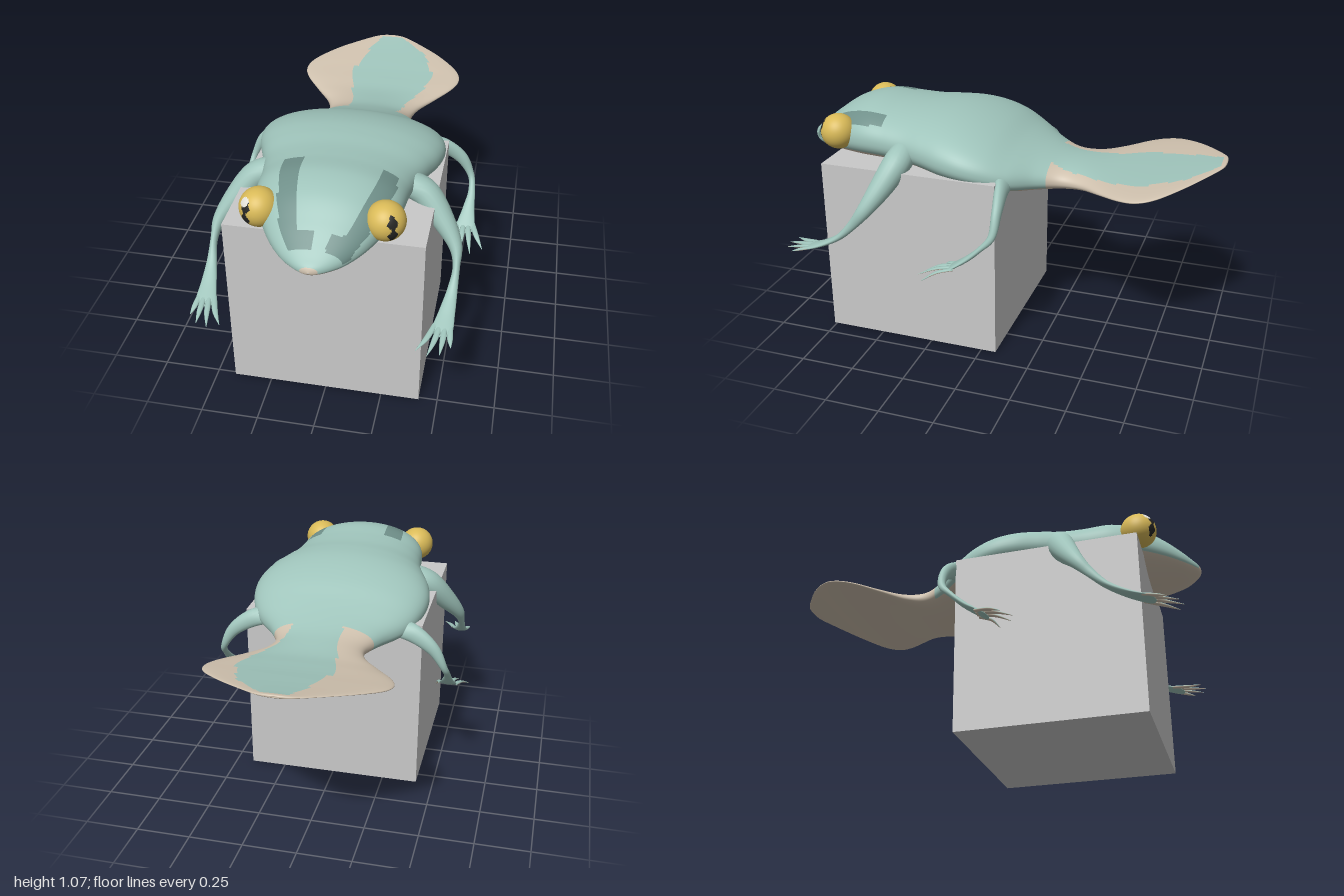
import * as THREE from 'three';

const mat = (name, color) => Object.assign(new THREE.MeshStandardMaterial({ color }), { name });

// Smooth interpolation through rows of numbers, u from 0 to 1
function sample(rows, u) {
  const n = rows.length - 1, f = Math.min(u * n, n - 1e-6), i = Math.floor(f), t = f - i;
  const at = (k) => rows[Math.min(Math.max(k, 0), n)];
  const [p, a, b, q] = [at(i - 1), at(i), at(i + 1), at(i + 2)];
  return a.map((v, k) => {
    const c1 = b[k] - p[k];
    const c2 = 2 * p[k] - 5 * v + 4 * b[k] - q[k];
    const c3 = 3 * (v - b[k]) + q[k] - p[k];
    return v + 0.5 * t * (c1 + t * (c2 + t * c3));
  });
}

// Closed skin over rings; pick(centre, angle, normal) chooses a material index for each face
function skin(rings, sides, point, pick, materials, name) {
  const pos = [], index = [], lists = materials.map(() => []);
  for (let i = 0; i <= rings; i++) {
    for (let j = 0; j < sides; j++) pos.push(...point(i / rings, (j / sides) * Math.PI * 2));
  }
  const v = (k) => new THREE.Vector3().fromArray(pos, k * 3);
  for (let i = 0; i < rings; i++) {
    for (let j = 0; j < sides; j++) {
      const a = i * sides + j, b = i * sides + (j + 1) % sides, c = a + sides, d = b + sides;
      const centre = v(a).add(v(b)).add(v(c)).add(v(d)).multiplyScalar(0.25);
      const normal = v(b).sub(v(c)).cross(v(d).sub(v(a))).normalize();
      lists[pick(centre, ((j + 0.5) / sides) * Math.PI * 2, normal)].push(a, b, c, b, d, c);
    }
  }
  const geo = new THREE.BufferGeometry();
  geo.setAttribute('position', new THREE.Float32BufferAttribute(pos, 3));
  lists.forEach((l, m) => {
    if (l.length) geo.addGroup(index.length, l.length, m);
    for (const k of l) index.push(k);
  });
  geo.setIndex(index);
  geo.computeVertexNormals();
  const mesh = new THREE.Mesh(geo, materials);
  mesh.name = name;
  return mesh;
}

// Tapered limb along rows of [x, y, z, half width, half depth]
function limb(rows, s, rings, sides, pick, materials, name) {
  const at = (u) => {
    const r = sample(rows, u);
    return new THREE.Vector3(r[0] * s, r[1], r[2]);
  };
  return skin(rings, sides, (u, th) => {
    const [, , , a, b] = sample(rows, u);
    const t = at(Math.min(u + 0.01, 1)).sub(at(Math.max(u - 0.01, 0))).normalize();
    const side = new THREE.Vector3(1, 0, 0).addScaledVector(t, -t.x).normalize();
    const up = t.clone().cross(side);
    return at(u).addScaledVector(side, Math.cos(th) * a).addScaledVector(up, Math.sin(th) * b).toArray();
  }, pick, materials, name);
}

// Body stations: z, half width, top, bottom
const BODY = [
  [1, 0.002, 0.838, 0.832], [0.99, 0.04, 0.858, 0.82], [0.96, 0.09, 0.882, 0.809], [0.92, 0.14, 0.915, 0.8],
  [0.85, 0.2, 0.97, 0.794], [0.75, 0.258, 1.035, 0.79], [0.63, 0.302, 1.066, 0.79], [0.5, 0.316, 1.058, 0.79],
  [0.4, 0.335, 1.053, 0.785], [0.3, 0.37, 1.055, 0.775], [0.2, 0.405, 1.05, 0.76], [0.1, 0.418, 1.03, 0.75],
  [0, 0.4, 0.995, 0.738], [-0.1, 0.35, 0.943, 0.728], [-0.2, 0.26, 0.9, 0.727], [-0.3, 0.206, 0.867, 0.734],
  [-0.4, 0.225, 0.852, 0.754], [-0.5, 0.3, 0.846, 0.782], [-0.6, 0.374, 0.855, 0.803], [-0.68, 0.4, 0.864, 0.817],
  [-0.76, 0.372, 0.876, 0.836], [-0.86, 0.272, 0.891, 0.868], [-0.95, 0.145, 0.907, 0.892],
  [-0.99, 0.075, 0.916, 0.9], [-1, 0.03, 0.914, 0.905], [-1, 0.001, 0.91, 0.908],
];

// Is x between the edges of a band given as rows of [z, low x, high x]?
function inBand(rows, x, z) {
  for (let i = 0; i < rows.length - 1; i++) {
    const [a, b] = [rows[i], rows[i + 1]];
    if (z < a[0] || z > b[0]) continue;
    const t = (z - a[0]) / (b[0] - a[0]);
    return x > a[1] + (b[1] - a[1]) * t && x < a[2] + (b[2] - a[2]) * t;
  }
  return false;
}
const TAIL_STRIPE = [[-0.98, -0.05, 0.06], [-0.85, -0.1, 0.2], [-0.68, -0.145, 0.26], [-0.55, -0.135, 0.235],
  [-0.4, -0.1, 0.17], [-0.24, -0.09, 0.14]];
const HEAD_STRIPES = [
  [[0.52, -0.205, -0.115], [0.7, -0.19, -0.105], [0.85, -0.15, -0.08], [0.94, -0.09, -0.05]],
  [[0.52, 0.205, 0.275], [0.65, 0.2, 0.27], [0.75, 0.175, 0.24], [0.85, 0.13, 0.19], [0.94, 0.07, 0.13]],
  [[0.88, -0.1, 0], [0.94, -0.09, 0]],
  [[0.88, 0.07, 0.15], [0.94, 0.05, 0.12]],
];

// Leg paths from hip to palm, and toe tips, for the left side
const LEGS = {
  Front: {
    rows: [[0.28, 0.9, 0.4, 0.055, 0.06], [0.37, 0.86, 0.41, 0.06, 0.063], [0.45, 0.77, 0.455, 0.05, 0.052],
      [0.515, 0.68, 0.51, 0.03, 0.034], [0.53, 0.61, 0.565, 0.016, 0.022], [0.525, 0.54, 0.635, 0.022, 0.015],
      [0.515, 0.49, 0.72, 0.034, 0.012], [0.505, 0.455, 0.81, 0.042, 0.007], [0.503, 0.447, 0.835, 0.002, 0.002]],
    tips: [[0.55, 0.437, 0.88], [0.51, 0.434, 0.925], [0.46, 0.434, 0.94], [0.41, 0.436, 0.92]],
  },
  Hind: {
    rows: [[0.27, 0.83, -0.07, 0.045, 0.03], [0.38, 0.805, -0.088, 0.042, 0.026], [0.475, 0.74, -0.1, 0.03, 0.022],
      [0.528, 0.65, -0.095, 0.016, 0.017], [0.54, 0.59, -0.045, 0.016, 0.012], [0.535, 0.53, 0.02, 0.028, 0.012],
      [0.53, 0.475, 0.1, 0.042, 0.007], [0.528, 0.462, 0.125, 0.002, 0.002]],
    tips: [[0.62, 0.437, 0.2], [0.567, 0.434, 0.24], [0.52, 0.434, 0.22], [0.465, 0.437, 0.155]],
  },
};

export function createModel() {
  const model = new THREE.Group();
  model.name = 'amphibian';
  const teal = mat('teal skin', 0x9fc4bb), cream = mat('cream belly', 0xcfc1ae), dark = mat('dark stripe', 0x70908a);
  const gold = mat('gold eye', 0xd9ba58), black = mat('black pupil', 0x262624), pale = mat('eye glint', 0xe4e2da);
  const grey = mat('grey block', 0xc9c9c9);

  // Resting block
  const block = new THREE.Mesh(new THREE.BoxGeometry(0.836, 0.838, 0.832), grey);
  block.name = 'block';
  block.position.set(0, 0.419, 0.346);
  model.add(block);

  // Body with head and flat tail
  model.add(skin(220, 96, (u, th) => {
    const [z, w, top, bottom] = sample(BODY, u);
    const mid = bottom + (top - bottom) * 0.45, s = Math.sin(th);
    const y = mid + Math.sign(s) * Math.abs(s) ** 0.9 * (s > 0 ? top - mid : mid - bottom);
    return [-w * Math.cos(th), y, z];
  }, (c, th) => {
    const s = Math.sin(th);
    if (c.z < -0.24) return s > 0 && inBand(TAIL_STRIPE, c.x, c.z) ? 0 : 1;
    if (s < -0.36 || c.z > 0.992) return 1;
    return s > 0 && HEAD_STRIPES.some((b) => inBand(b, c.x, c.z)) ? 2 : 0;
  }, [teal, cream, dark], 'body'));

  // Eyes with a pinched pupil looking forward and outward
  for (const s of [1, -1]) {
    const look = new THREE.Vector3(0.5 * s, 0.05, 0.85).normalize();
    const across = new THREE.Vector3(0, 1, 0).cross(look).normalize();
    const glint = new THREE.Vector3(-0.55, 0.6, 0.6).normalize();
    const eye = skin(56, 64, (u, th) => {
      const r = Math.sin(Math.PI * u) * 0.082;
      return [-r * Math.cos(th), r * Math.sin(th), Math.cos(Math.PI * u) * 0.082];
    }, (c) => {
      const d = c.clone().normalize(), a = Math.abs(d.dot(across)), b = Math.abs(d.y - look.y);
      if (s < 0 && d.dot(glint) > 0.965) return 2;
      const half = b < 0.3 ? 0.06 + 0.75 * b : 0.285 - 0.6 * (b - 0.3);
      return d.dot(look) > 0 && b < 0.68 && a < half ? 1 : 0;
    }, [gold, black, pale], s > 0 ? 'leftEye' : 'rightEye');
    eye.position.set(0.255 * s, 0.941, 0.75);
    model.add(eye);
  }

  // Legs, each with four tapered toes
  for (const [kind, { rows, tips }] of Object.entries(LEGS)) {
    for (const s of [1, -1]) {
      const leg = new THREE.Group();
      leg.name = (s > 0 ? 'left' : 'right') + kind + 'Leg';
      leg.add(limb(rows, s, 54, 20, () => 0, [teal], 'limb'));
      const [px, py, pz] = rows[rows.length - 2];
      tips.forEach(([x, y, z], i) => {
        const bx = px + 0.032 - i * 0.0213;
        const toe = [[bx, py + 0.01, pz - 0.03, 0.011, 0.006],
          [bx + (x - bx) * 0.4, py - 0.005, pz + (z - pz) * 0.4, 0.012, 0.006], [x, y, z, 0.001, 0.001]];
        leg.add(limb(toe, s, 12, 10, (c, th, n) => (n.y < -0.3 ? 1 : 0), [teal, cream], 'toe'));
      });
      model.add(leg);
    }
  }
  return model;
}
